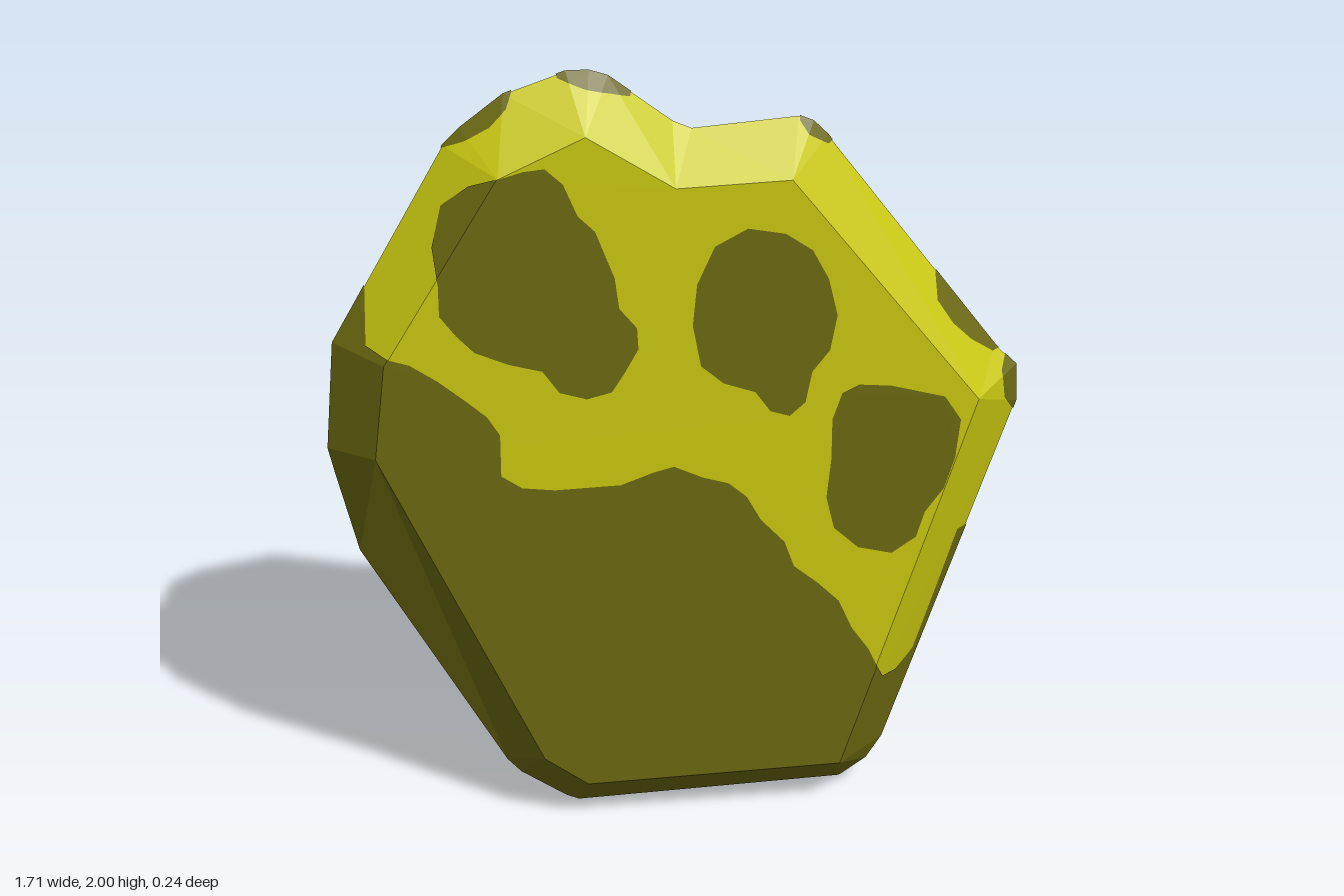
import * as THREE from 'three';

const DEPTH = 0.12;

// Each flat-face corner [x, y] with the rim points it fans out to, counter-clockwise
const corners = [
  { face: [-0.24, 0.127], rim: [[-0.29, 0.02], [-0.257, 0.005]] },
  { face: [0.41, 0.145], rim: [[0.43, 0.03], [0.5, 0.08], [0.54, 0.145]] },
  { face: [0.73, 1.165], rim: [[0.85, 1.1], [0.845, 1.2], [0.79, 1.255]] },
  { face: [0.26, 1.755], rim: [[0.36, 1.82], [0.325, 1.855], [0.29, 1.87]] },
  { face: [-0.015, 1.745], rim: [[0.035, 1.85], [-0.01, 1.87]] },
  { face: [-0.225, 1.88], rim: [[-0.16, 1.985], [-0.205, 2], [-0.26, 2]] },
  { face: [-0.43, 1.785], rim: [[-0.405, 1.95], [-0.51, 1.87], [-0.55, 1.83]] },
  { face: [-0.71, 1.325], rim: [[-0.83, 1.34]] },
  { face: [-0.74, 1.08], rim: [[-0.855, 1.06], [-0.84, 0.99], [-0.79, 0.775]] },
  { face: [-0.35, 0.21], rim: [[-0.44, 0.14], [-0.405, 0.1]] },
];

// Outlines of the dark markings, wrapped over the face and the bevel
const markings = {
  palmPad: [[-0.75, 1.357], [-0.65, 1.325], [-0.585, 1.28], [-0.52, 1.225], [-0.47, 1.18], [-0.44, 1.13],
    [-0.44, 1.02], [-0.39, 0.985], [-0.31, 0.975], [-0.15, 0.98], [-0.07, 1.01], [-0.02, 1.023], [0.05, 0.99],
    [0.115, 0.97], [0.16, 0.93], [0.195, 0.865], [0.255, 0.8], [0.28, 0.73], [0.34, 0.68], [0.395, 0.625],
    [0.43, 0.545], [0.475, 0.48], [0.5, 0.425], [0.52, 0.38], [0.56, 0.375], [0.61, 0.415], [0.665, 0.6],
    [0.71, 0.76], [0.8, 0.76], [0.65, -0.1], [-0.5, -0.1], [-1, 0.8], [-1, 1.5], [-0.745, 1.52]],
  rightToePad: [[-0.37, 1.8], [-0.32, 1.805], [-0.278, 1.765], [-0.245, 1.685], [-0.205, 1.645], [-0.16, 1.525],
    [-0.15, 1.447], [-0.108, 1.395], [-0.105, 1.34], [-0.14, 1.277], [-0.17, 1.23], [-0.23, 1.215],
    [-0.295, 1.235], [-0.335, 1.293], [-0.415, 1.315], [-0.495, 1.35], [-0.537, 1.395], [-0.575, 1.447],
    [-0.575, 1.525], [-0.585, 1.605], [-0.56, 1.7], [-0.495, 1.755], [-0.44, 1.78]],
  middleToePad: [[0.155, 1.637], [0.245, 1.62], [0.31, 1.575], [0.35, 1.5], [0.373, 1.405], [0.357, 1.315],
    [0.315, 1.26], [0.3, 1.18], [0.262, 1.145], [0.215, 1.16], [0.177, 1.213], [0.1, 1.24], [0.045, 1.288],
    [0.025, 1.395], [0.035, 1.5], [0.077, 1.595]],
  leftToePad: [[0.43, 1.22], [0.51, 1.213], [0.643, 1.177], [0.685, 1.113], [0.675, 1.01], [0.65, 0.927],
    [0.605, 0.864], [0.585, 0.795], [0.525, 0.753], [0.44, 0.774], [0.378, 0.832], [0.357, 0.917],
    [0.367, 1.023], [0.367, 1.13], [0.39, 1.2]],
  upperLeftRimSpot: [[0.63, 1.46], [0.63, 1.4], [0.67, 1.34], [0.72, 1.29], [0.78, 1.245], [0.85, 1.25], [0.7, 1.5]],
  leftRimSpot: [[0.8, 1.2], [0.81, 1.13], [0.84, 1.08], [0.9, 1.08], [0.9, 1.23], [0.82, 1.24]],
  upperRightRimSpot: [[-0.56, 1.82], [-0.5, 1.845], [-0.44, 1.88], [-0.4, 1.92], [-0.385, 1.955], [-0.45, 2.05], [-0.62, 1.9]],
  topRimSpot: [[-0.28, 1.985], [-0.22, 1.965], [-0.16, 1.95], [-0.11, 1.935], [-0.1, 1.96], [-0.1, 2.1], [-0.3, 2.1]],
  topLeftRimSpot: [[0.29, 1.86], [0.31, 1.83], [0.36, 1.8], [0.45, 1.85], [0.3, 1.95]],
};

const side = (a, b, p) => (b.x - a.x) * (p.y - a.y) - (b.y - a.y) * (p.x - a.x);
const ccw = (t) => (side(...t) < 0 ? [t[0], t[2], t[1]] : t);

// Cut a polygon down to the part inside a convex counter-clockwise outline
function clip(polygon, outline) {
  let result = polygon;
  outline.forEach((a, i) => {
    const b = outline[(i + 1) % outline.length];
    const kept = [];
    result.forEach((p, j) => {
      const q = result[(j + 1) % result.length];
      const dp = side(a, b, p), dq = side(a, b, q);
      if (dp >= 0) kept.push(p);
      if (dp * dq < 0) kept.push(p.clone().lerp(q, dp / (dp - dq)));
    });
    result = kept;
  });
  return result;
}

function triangulate(polygon) {
  return THREE.ShapeUtils.triangulateShape([...polygon], [])
    .map((t) => ccw(t.map((i) => polygon[i])))
    .filter((t) => side(...t) > 1e-8);
}

// Front triangles plus their mirror image on the back
function twoSided(triangles) {
  const points = [];
  for (const [a, b, c] of triangles) {
    points.push(a, b, c);
    for (const p of [a, c, b]) points.push(new THREE.Vector3(p.x, p.y, -p.z));
  }
  const geometry = new THREE.BufferGeometry().setFromPoints(points);
  geometry.computeVertexNormals();
  return geometry;
}

export function createModel() {
  const yellow = new THREE.MeshStandardMaterial({ color: 0xc9c810 });
  yellow.name = 'yellow';
  const darkOlive = new THREE.MeshStandardMaterial({ color: 0x6c6910 });
  darkOlive.name = 'dark olive';

  const model = new THREE.Group();
  model.name = 'pawSlab';

  // Flat face and bevel triangles of the front half
  const face = corners.map((c) => new THREE.Vector3(...c.face, DEPTH));
  const rims = corners.map((c) => c.rim.map((p) => new THREE.Vector3(...p, 0)));
  const bevel = [];
  rims.forEach((rim, i) => {
    const next = (i + 1) % rims.length;
    for (let j = 1; j < rim.length; j++) bevel.push(ccw([face[i], rim[j - 1], rim[j]]));
    const last = rim[rim.length - 1];
    bevel.push(ccw([face[i], last, rims[next][0]]), ccw([face[i], rims[next][0], face[next]]));
  });

  const body = new THREE.Mesh(twoSided([...triangulate(face), ...bevel]), yellow);
  body.name = 'body';
  model.add(body);

  // Markings: clipped to every facet, laid on its plane, then lifted slightly
  const convexFace = face.filter((_, i) => i !== 4);
  const facets = [convexFace, ...bevel];
  for (const [name, outline] of Object.entries(markings)) {
    const polygon = outline.map((p) => new THREE.Vector3(...p, 0));
    const triangles = [];
    for (const facet of facets) {
      const piece = clip(polygon, facet);
      if (piece.length < 3) continue;
      const plane = new THREE.Plane().setFromCoplanarPoints(facet[0], facet[1], facet[2]);
      const n = plane.normal;
      const laid = piece.map((p) => new THREE.Vector3(p.x, p.y, -(plane.constant + n.x * p.x + n.y * p.y) / n.z));
      triangles.push(...triangulate(laid));
    }
    const marking = new THREE.Mesh(twoSided(triangles), darkOlive);
    marking.name = name;
    marking.scale.set(1.003, 1.003, 1.02);
    marking.position.y = -0.003;
    model.add(marking);
  }
  return model;
}
